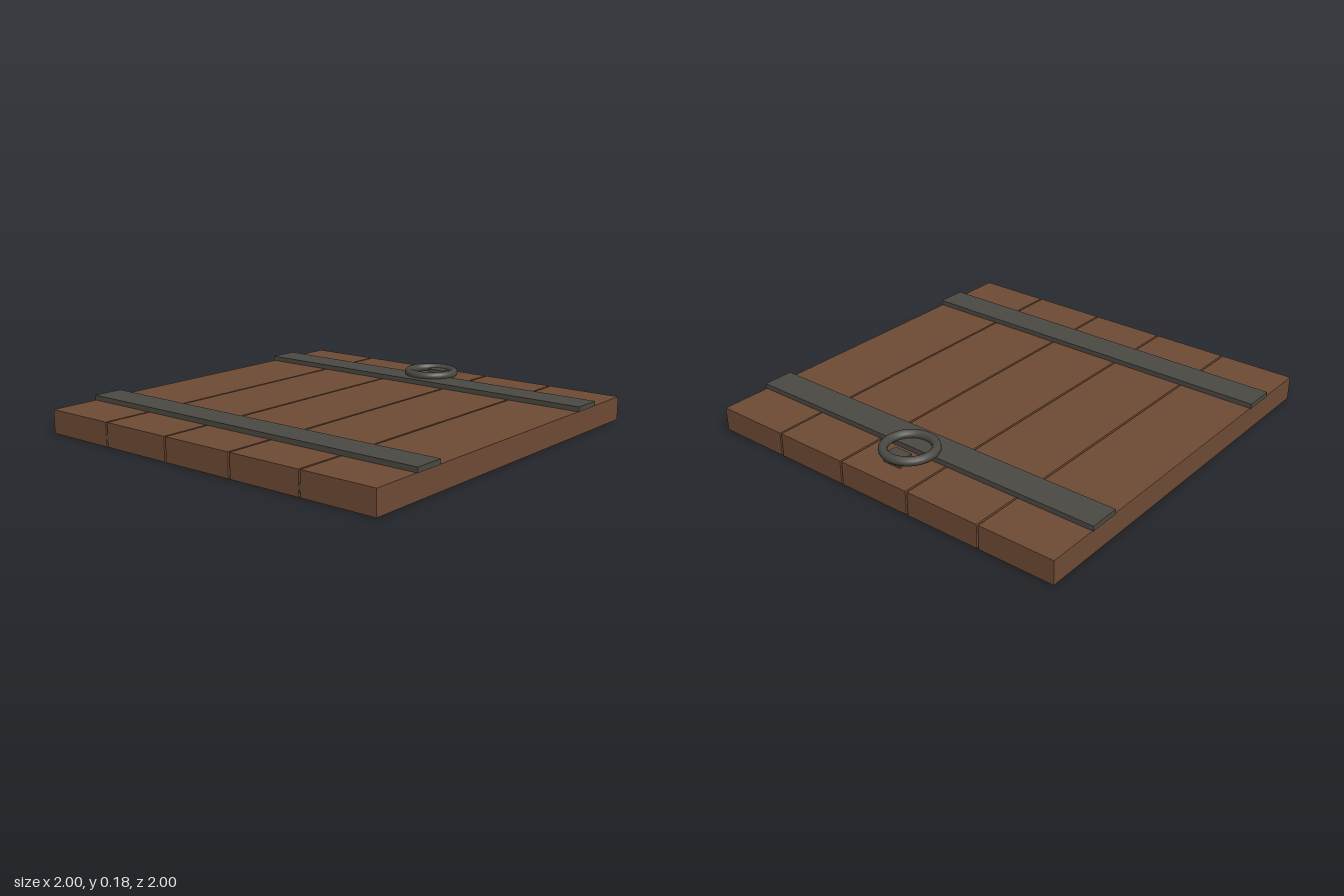
import * as THREE from 'three';

export function createModel() {
  const group = new THREE.Group();
  const wood = new THREE.MeshStandardMaterial({ color: 0x6e4a34 });
  wood.name = 'brown wood';
  const iron = new THREE.MeshStandardMaterial({ color: 0x4a4842 });
  iron.name = 'dark iron';

  const add = (name, geometry, material, x, y, z) => {
    const mesh = new THREE.Mesh(geometry, material);
    mesh.name = name;
    mesh.position.set(x, y, z);
    group.add(mesh);
    return mesh;
  };

  // Five planks with narrow gaps
  const plank = new THREE.BoxGeometry(0.39, 0.12, 2);
  for (let i = -2; i <= 2; i++) add(`plank${i + 3}`, plank, wood, i * 0.4, 0.06, 0);

  // Iron straps across the planks
  const strap = new THREE.BoxGeometry(2, 0.025, 0.16);
  add('frontStrap', strap, iron, 0, 0.1325, 0.66);
  add('backStrap', strap, iron, 0, 0.1325, -0.66);

  // Hinge barrels sunk into the front edge
  const barrel = new THREE.CylinderGeometry(0.04, 0.04, 0.2, 16).rotateZ(Math.PI / 2);
  add('leftHinge', barrel, iron, 0.6, 0.04, 0.96);
  add('rightHinge', barrel, iron, -0.6, 0.04, 0.96);

  // Pull ring lying over its staple
  add('pullRing', new THREE.TorusGeometry(0.122, 0.022, 12, 32).rotateX(Math.PI / 2), iron, 0, 0.156, -0.76);
  add('ringStaple', new THREE.BoxGeometry(0.1, 0.04, 0.08), iron, 0, 0.14, -0.84);

  return group;
}
